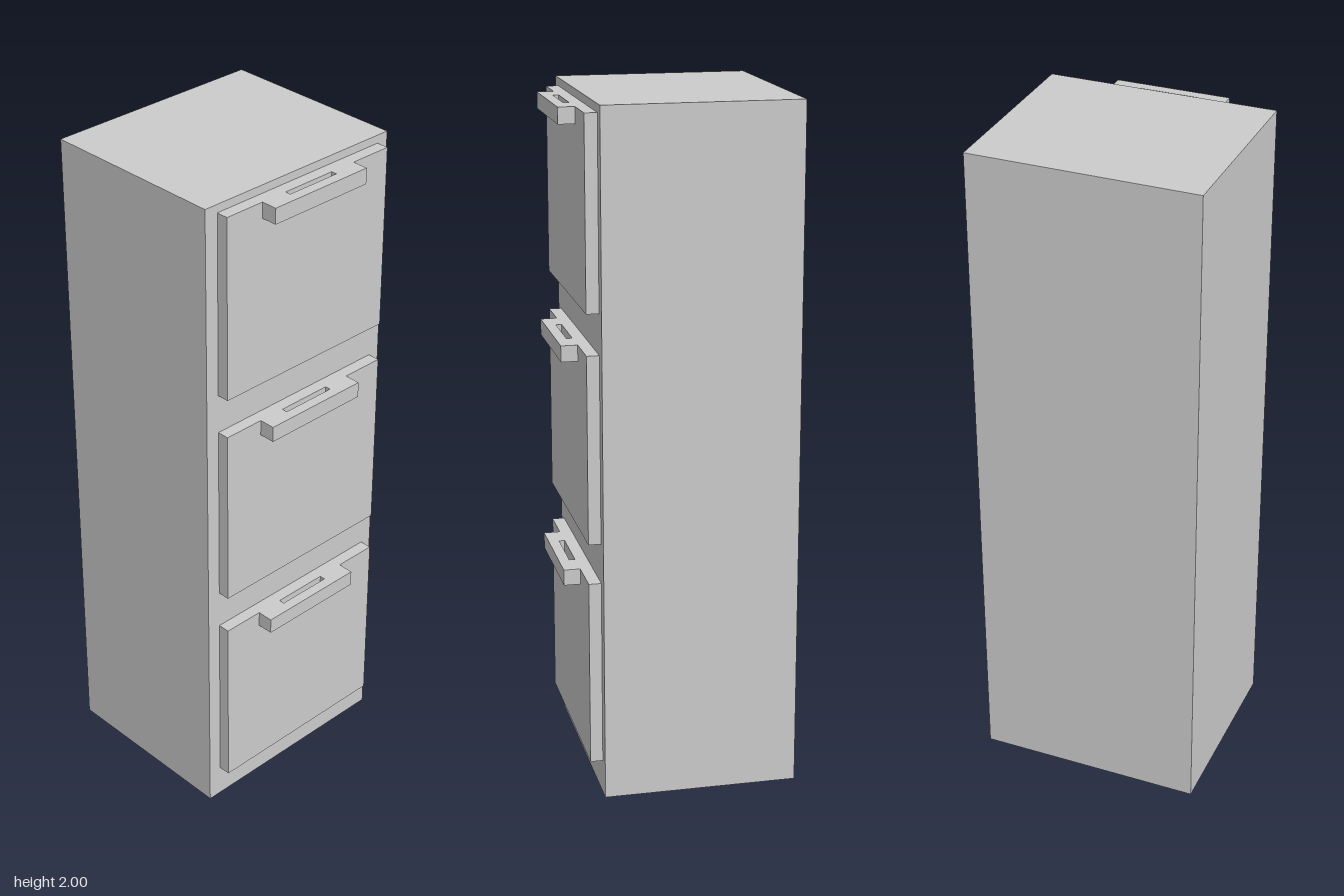
import * as THREE from 'three';

const material = new THREE.MeshStandardMaterial({ color: 0xcccccc, flatShading: true });

// Box given by its minimum and maximum corners
function block(name, [x0, y0, z0], [x1, y1, z1]) {
  const mesh = new THREE.Mesh(new THREE.BoxGeometry(x1 - x0, y1 - y0, z1 - z0), material);
  mesh.name = name;
  mesh.position.set((x0 + x1) / 2, (y0 + y1) / 2, (z0 + z1) / 2);
  return mesh;
}

const BODY_FRONT = 0.241;
const DRAWER_FRONT = 0.277;
const HANDLE_FRONT = 0.325;
const HANDLE_HEIGHT = 0.047;

// U-shaped grip in plan, leaving a finger slot against the drawer
function handleGeometry() {
  const outer = 0.168, inner = 0.085, slot = 0.294;
  const plan = new THREE.Shape([
    [-outer, DRAWER_FRONT], [-inner, DRAWER_FRONT], [-inner, slot], [inner, slot],
    [inner, DRAWER_FRONT], [outer, DRAWER_FRONT], [outer, HANDLE_FRONT], [-outer, HANDLE_FRONT],
  ].map(([x, z]) => new THREE.Vector2(x, z)));
  // Plan turned flat, so the handle hangs down from y = 0
  return new THREE.ExtrudeGeometry(plan, { depth: HANDLE_HEIGHT, bevelEnabled: false })
    .rotateX(Math.PI / 2);
}

export function createModel() {
  const cabinet = new THREE.Group();
  cabinet.name = 'filingCabinet';
  cabinet.add(block('body', [-0.335, 0, -0.327], [0.335, 2, BODY_FRONT]));

  // Three drawers, each with a handle flush with its top edge
  const grip = handleGeometry();
  ['bottom', 'middle', 'top'].forEach((level, i) => {
    const top = 0.647 + i * 0.6645;
    const drawer = new THREE.Group();
    drawer.name = `${level}Drawer`;
    drawer.add(block('drawerFront', [-0.293, top - 0.547, BODY_FRONT], [0.299, top, DRAWER_FRONT]));
    const handle = new THREE.Mesh(grip, material);
    handle.name = 'handle';
    handle.position.y = top;
    drawer.add(handle);
    cabinet.add(drawer);
  });
  return cabinet;
}
